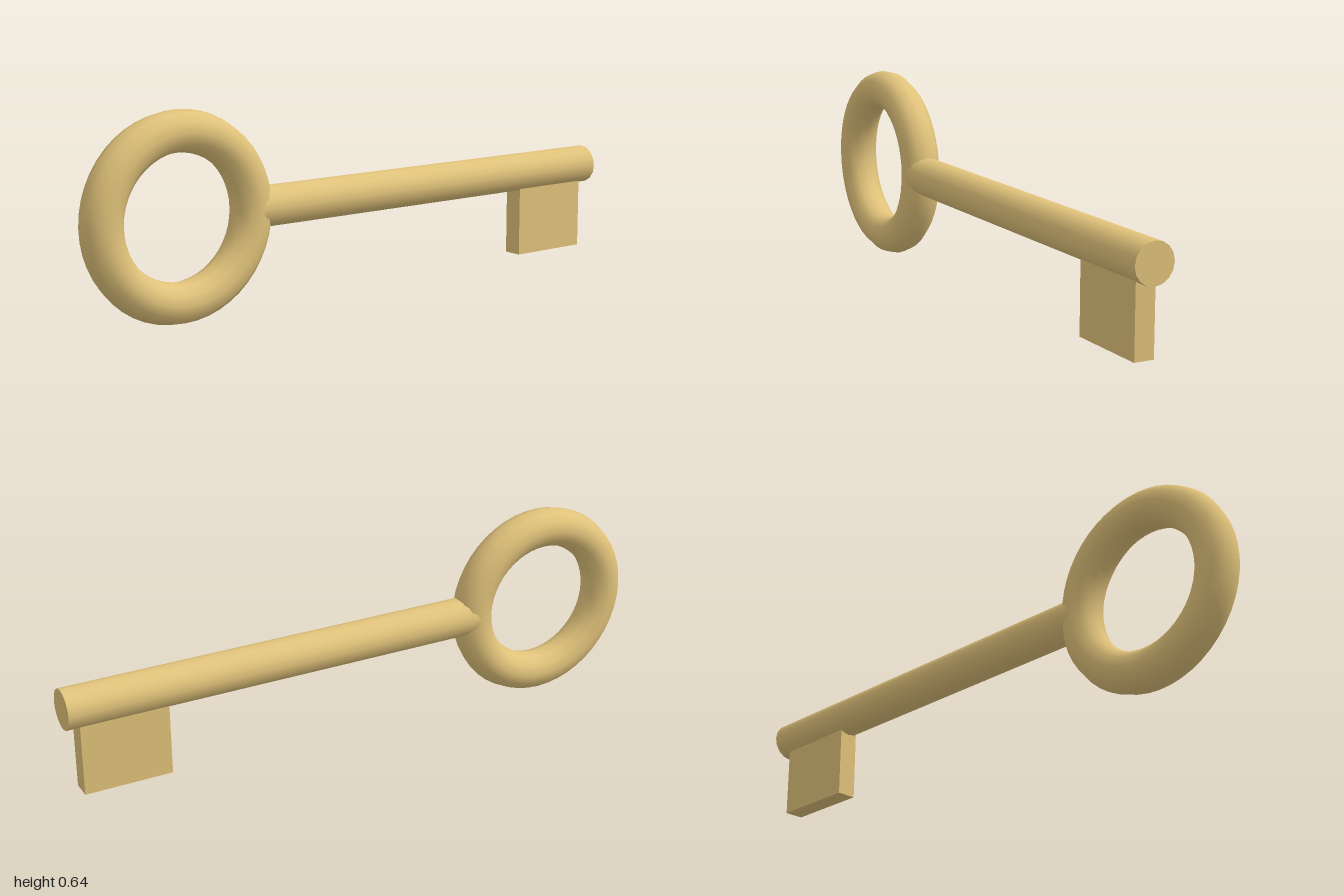
import * as THREE from 'three';

export function createModel() {
  const key = new THREE.Group();
  key.name = 'key';
  const brass = new THREE.MeshStandardMaterial({ color: 0xe0c27a });
  const r = 0.0645; // shared radius of ring tube and shaft
  const axisY = 0.326;

  function add(name, geometry, y, z) {
    const mesh = new THREE.Mesh(geometry, brass);
    mesh.name = name;
    mesh.position.set(0, y, z);
    key.add(mesh);
  }

  // Ring handle, standing in the y-z plane
  add('ringHandle', new THREE.TorusGeometry(4 * r, r, 12, 48).rotateY(Math.PI / 2), axisY, 0.677);

  // Round shaft, from the middle of the ring's tube to the tip
  const front = 0.419, back = -1;
  add('shaft', new THREE.CylinderGeometry(r, r, front - back, 16).rotateX(Math.PI / 2), axisY, (front + back) / 2);

  // Rectangular bit hanging below the tip, its top sunk into the shaft
  const top = 0.3, bottom = 0.042;
  add('bit', new THREE.BoxGeometry(r, top - bottom, 0.284), (top + bottom) / 2, -0.816);

  return key;
}
